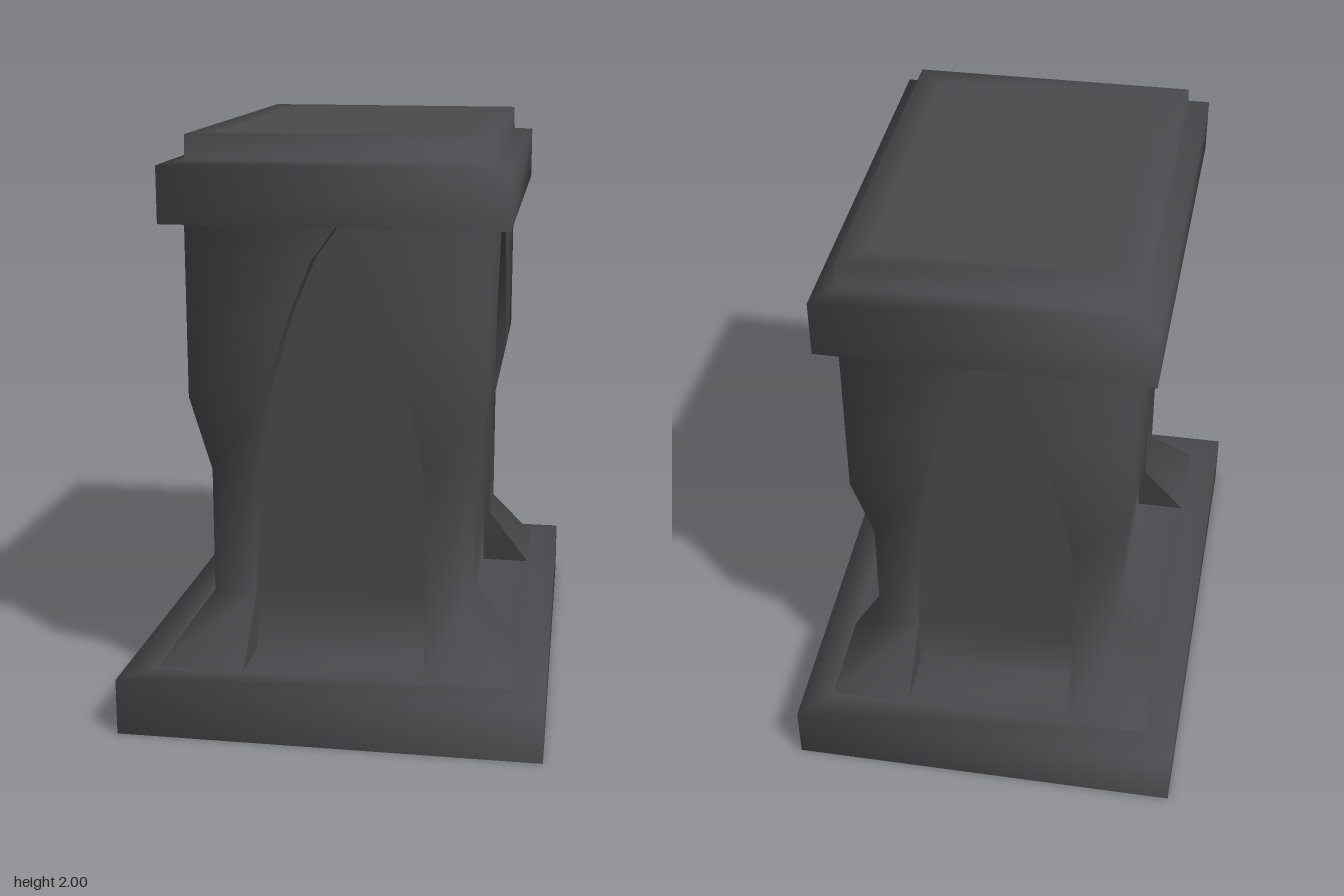
import * as THREE from 'three';

const stone = new THREE.MeshStandardMaterial({ color: 0x4a4a4e, side: THREE.DoubleSide });
stone.name = 'dark stone';

// Joins point rows of equal length into a smooth surface; the plan widens slightly to the front
function loft(name, rows, closed = false) {
  const n = rows[0].length;
  const positions = rows.flat().flatMap(([x, y, z]) => [x * (1 + 0.03 * z) + 0.004, y, z]);
  const index = [];
  for (let i = 0; i < rows.length - 1; i++) {
    for (let j = 0; j < (closed ? n : n - 1); j++) {
      const k = (j + 1) % n;
      const a = i * n + j, b = i * n + k, c = a + n, d = b + n;
      index.push(a, b, d, a, d, c);
    }
  }
  const geometry = new THREE.BufferGeometry();
  geometry.setAttribute('position', new THREE.Float32BufferAttribute(positions, 3));
  geometry.setIndex(index);
  geometry.computeVertexNormals();
  const mesh = new THREE.Mesh(geometry, stone);
  mesh.name = name;
  return mesh;
}

// Rectangular row of corners
const rect = (hx, hz, y) => [[-hx, y, hz], [hx, y, hz], [hx, y, -hz], [-hx, y, -hz]];

// Body levels: height, half width, half depth, half opening on the front, half opening on the side
const LEVELS = [
  [0.2, 0.59, 0.8, 0.3, 0.44],
  [0.42, 0.435, 0.62, 0.29, 0.39],
  [0.86, 0.435, 0.62, 0.28, 0.39],
  [1.13, 0.49, 0.69, 0.24, 0.37],
  [1.4, 0.49, 0.69, 0.16, 0.27],
  [1.6, 0.49, 0.69, 0.08, 0.14],
  [1.71, 0.49, 0.69, 0, 0],
];
const PANEL_X = 0.41, PANEL_Z = 0.585;

export function createModel() {
  const model = new THREE.Group();
  model.name = 'pedestal';

  // Hollow base slab, open underneath
  model.add(loft('base', [rect(0.7, 0.92, 0), rect(0.7, 0.92, 0.195), rect(0.59, 0.8, 0.2)], true));

  // Flared corner pillars with the side walls of the arched recesses
  const pillars = new THREE.Group();
  pillars.name = 'cornerPillars';
  for (const sx of [1, -1]) {
    for (const sz of [1, -1]) {
      const strip = (name, section) => {
        const rows = LEVELS.map((level) => {
          const row = section(...level).map(([x, z]) => [x * sx, level[0], z * sz]);
          return sx * sz < 0 ? row.reverse() : row;
        });
        pillars.add(loft(name, rows));
      };
      strip('pillar', (y, hx, hz, ex, ez) => [[ex, hz], [hx, hz], [hx, ez]]);
      strip('frontReveal', (y, hx, hz, ex) => [[ex, PANEL_Z], [ex, hz]]);
      strip('sideReveal', (y, hx, hz, ex, ez) => [[hx, ez], [PANEL_X, ez]]);
    }
  }
  model.add(pillars);

  // Recessed pointed panels, each with its small floor
  const [floorY, floorX, floorZ, openX, openZ] = LEVELS[0];
  for (const s of [1, -1]) {
    const facing = LEVELS.map(([y, , , ex]) => [[-ex * s, y, PANEL_Z * s], [ex * s, y, PANEL_Z * s]]);
    facing.unshift([[-openX * s, floorY, floorZ * s], [openX * s, floorY, floorZ * s]]);
    model.add(loft(s > 0 ? 'frontPanel' : 'backPanel', facing));

    const flank = LEVELS.map(([y, , , , ez]) => [[PANEL_X * s, y, ez * s], [PANEL_X * s, y, -ez * s]]);
    flank.unshift([[floorX * s, floorY, openZ * s], [floorX * s, floorY, -openZ * s]]);
    model.add(loft(s > 0 ? 'leftPanel' : 'rightPanel', flank));
  }

  // Stepped cap and its underside
  model.add(loft('cap', [
    rect(0.555, 0.77, 1.72), rect(0.555, 0.77, 1.908), rect(0.488, 0.678, 1.918),
    rect(0.485, 0.676, 2), rect(0.4, 0.58, 2), rect(0, 0, 2),
  ], true));
  model.add(loft('capUnderside', [rect(0, 0, 1.72), rect(0.555, 0.77, 1.72)], true));

  return model;
}
